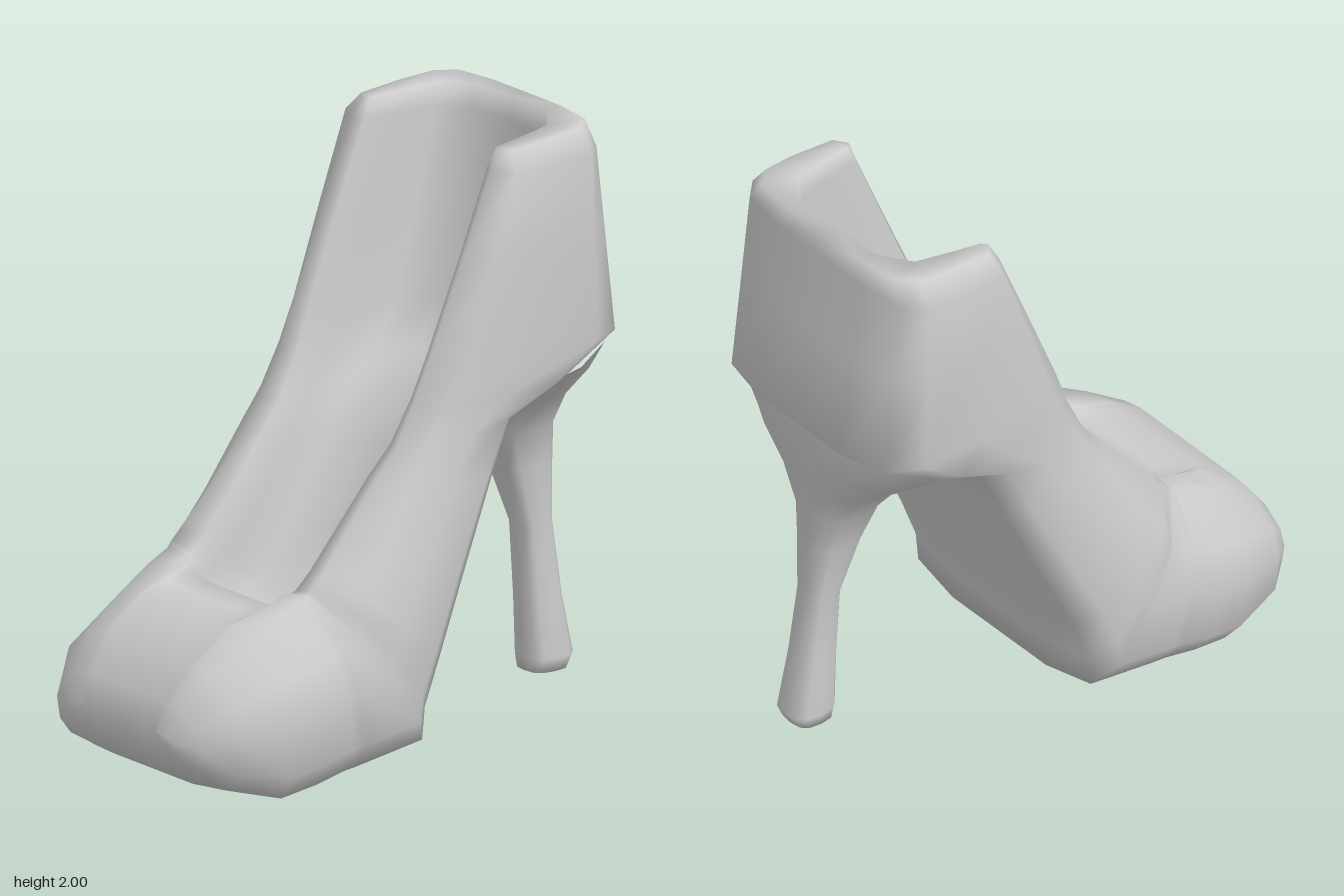
import * as THREE from 'three';

const grey = () => new THREE.MeshStandardMaterial({ color: 0xcccccc });

// Joins equal rings of points into a smooth skin; caps holds extra triangles
function loft(rings, caps = []) {
  const n = rings[0].length, index = [...caps];
  for (let i = 0; i < rings.length - 1; i++) {
    for (let k = 0; k < n; k++) {
      const a = i * n + k, b = i * n + (k + 1) % n;
      index.push(a, a + n, b, b, a + n, b + n);
    }
  }
  const geometry = new THREE.BufferGeometry();
  geometry.setAttribute('position', new THREE.Float32BufferAttribute(rings.flat(2), 3));
  geometry.setIndex(index);
  geometry.computeVertexNormals();
  return geometry;
}

// One section of the upper: a thick U from the topline (t = 0) to the sole (t = 1)
function upperRing([tz, ty, bz, by, w, wi, f, s]) {
  const half = [
    [0, f], [0.6 * wi, 0.97 * f], [0.92 * wi, 0.75 * f], [wi, 0.35 * f],   // lining
    [wi + 0.015, 0.06 * f], [wi + 0.4 * (w - wi), f ? 0 : 0.04],           // topline
    [w * (1.01 - 0.3 * s), s], [w, 0.5], [0.97 * w, 0.8], [0.83 * w, 0.95], [0.45 * w, 1], [0, 1],
  ];
  const full = [...half, ...half.slice(1, -1).reverse().map(([x, t]) => [-x, t])];
  return full.map(([x, t]) => [x, ty + (by - ty) * t, tz + (bz - tz) * t]);
}

function makeUpper() {
  // topline z, y; sole z, y; half width; opening half width; lining depth; shoulder
  const sections = [
    [-0.35, 1.97, -0.74, 2.00, 0.39, 0.31, 0.86, 0.08],
    [-0.32, 1.91, -0.75, 1.92, 0.45, 0.30, 0.84, 0.10],
    [-0.20, 1.62, -0.79, 1.65, 0.45, 0.30, 0.73, 0.10],
    [-0.08, 1.33, -0.84, 1.30, 0.45, 0.29, 0.60, 0.10],
    [-0.03, 1.20, -0.64, 1.18, 0.44, 0.28, 0.69, 0.10],
    [0.04, 1.06, -0.43, 1.12, 0.44, 0.27, 0.77, 0.12],
    [0.12, 0.97, -0.34, 0.92, 0.45, 0.26, 0.76, 0.14],
    [0.26, 0.80, -0.20, 0.60, 0.48, 0.25, 0.72, 0.18],
    [0.34, 0.71, -0.09, 0.36, 0.51, 0.25, 0.69, 0.20],
    [0.37, 0.68, -0.03, 0.20, 0.51, 0.25, 0.56, 0.22],
    [0.39, 0.66, -0.02, 0.09, 0.51, 0.25, 0.49, 0.24],
    [0.40, 0.65, 0.25, 0.05, 0.51, 0.25, 0.42, 0.26],
    // closed toe, dipping slightly behind the opening
    [0.41, 0.64, 0.30, 0.045, 0.51, 0.24, 0.12, 0.26],
    [0.50, 0.60, 0.42, 0.02, 0.51, 0.23, 0.06, 0.26],
    [0.61, 0.56, 0.55, 0.00, 0.50, 0.22, 0, 0.25],
    [0.75, 0.46, 0.74, 0.06, 0.45, 0.22, 0, 0.25],
    [0.84, 0.34, 0.83, 0.11, 0.37, 0.20, 0, 0.25],
    [0.867, 0.25, 0.865, 0.18, 0.28, 0.17, 0, 0.25],
  ];
  // rim at the top and closing face at the toe tip, mirrored for both sides
  const caps = [], m = (k) => (22 - k) % 22, tip = (sections.length - 1) * 22;
  for (let j = 0; j < 5; j++) {
    const [a, b, c, d] = [j, j + 1, 10 - j, 11 - j];
    const rim = [a, b, c, a, c, d, m(c), m(b), m(a), m(d), m(c), m(a)];
    caps.push(...rim, ...rim.map((k) => k + tip).reverse());
  }
  return new THREE.Mesh(loft(sections.map(upperRing), caps), grey());
}

function makeHeel() {
  // back y, z; front y, z; half width; sideways shift
  const sections = [
    [1.31, -0.83, 1.14, -0.42, 0.43, 0], [1.18, -0.83, 1.10, -0.45, 0.33, 0],
    [1.06, -0.81, 1.04, -0.49, 0.21, 0], [0.93, -0.80, 0.93, -0.56, 0.12, 0],
    [0.80, -0.80, 0.80, -0.61, 0.09, 0.01], [0.60, -0.80, 0.60, -0.68, 0.065, 0.02],
    [0.35, -0.83, 0.35, -0.69, 0.07, 0.03], [0.16, -0.87, 0.16, -0.70, 0.08, 0.03],
    [0.115, -0.85, 0.115, -0.705, 0.07, 0.03], [0.115, -0.77, 0.115, -0.77, 0, 0.03],
  ];
  const sides = 12;
  const soft = (v) => Math.sign(v) * Math.abs(v) ** 0.7;
  const rings = sections.map(([by, bz, fy, fz, w, shift]) => Array.from({ length: sides }, (_, k) => {
    const a = (k / sides) * Math.PI * 2, t = (1 - soft(Math.sin(a))) / 2;
    return [shift + w * soft(Math.cos(a)), by + (fy - by) * t, bz + (fz - bz) * t];
  }));
  return new THREE.Mesh(loft(rings), grey());
}

export function createModel() {
  const group = new THREE.Group();
  group.name = 'highHeelShoe';
  const upper = makeUpper();
  upper.name = 'upper';
  const heel = makeHeel();
  heel.name = 'heel';
  group.add(upper, heel);
  return group;
}
